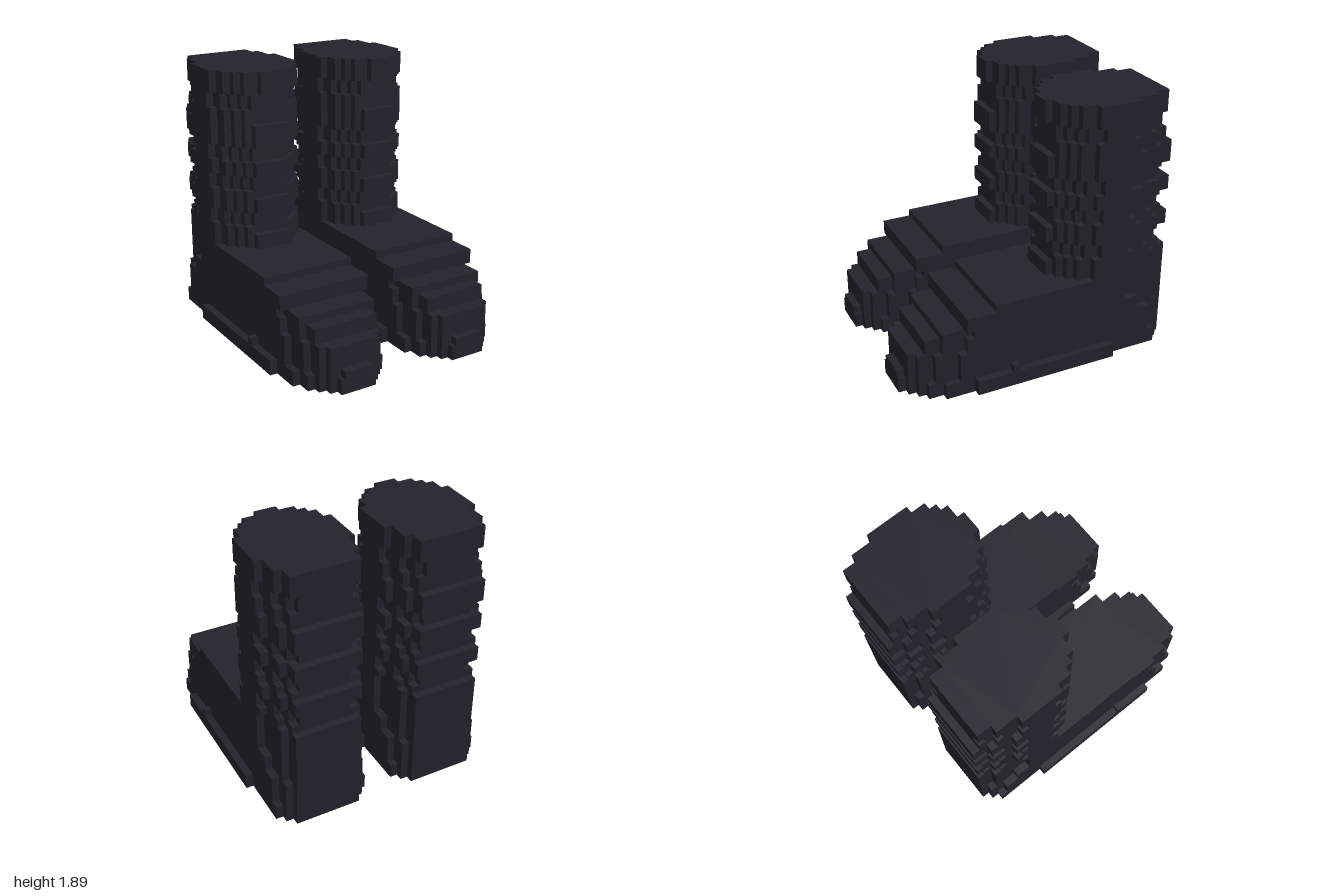
import * as THREE from 'three';

const U = 1 / 19; // one block

// Stepped slab symmetric in x. rows: [half width, z end], running from the back (z0) to the front.
function slab(name, y0, y1, z0, rows, material) {
  const right = [], left = [];
  let z = z0;
  for (const [half, zEnd] of rows) {
    right.push([half, z], [half, zEnd]);
    left.push([-half, z], [-half, zEnd]);
    z = zEnd;
  }
  const points = [...right, ...left.reverse()].map(([x, d]) => new THREE.Vector2(x * U, d * U));
  const geometry = new THREE.ExtrudeGeometry(new THREE.Shape(points), { depth: (y1 - y0) * U, bevelEnabled: false });
  geometry.rotateX(Math.PI / 2).translate(0, y1 * U, 0);
  const mesh = new THREE.Mesh(geometry, material);
  mesh.name = name;
  return mesh;
}

function createBoot(material) {
  const boot = new THREE.Group();
  const add = (...args) => boot.add(slab(...args, material));

  // Sole with its wider welt and small side tabs
  add('sole', 0, 2, -19, [[4.5, -18], [5.5, -17], [6.5, -10], [7.5, 10], [6.5, 14], [5.5, 16], [4.5, 17], [3.5, 18], [2.5, 19]]);
  add('soleTab', 2, 3, 4, [[7.5, 5]]);

  // Foot: heel rows, then toe rows that step back with height
  const heelLow = [[4.5, -18], [5.5, -16]];
  const heelMid = [[4.5, -17], [5.5, -14]];
  const heelHigh = [[4.5, -17], [5.5, -12]];
  const toe = [[6.5, 12], [5.5, 15], [4.5, 17], [3.5, 18]];
  add('toeTip', 2, 3, -19, [...heelLow, ...toe, [2, 19]]);
  add('toe', 3, 6, -19, [...heelLow, ...toe]);
  add('toe', 6, 8, -19, [...heelMid, [6.5, 11], [5.5, 14], [4.5, 16]]);
  add('instep', 8, 9, -19, [...heelHigh, [6.5, 10], [5.5, 14]]);
  add('instep', 9, 11, -19, [...heelHigh, [6.5, 11]]);
  add('instep', 11, 12, -19, [...heelHigh, [6.5, 7]]);

  // Shaft: raised bands, plain stretches and grooves cut in at the corners
  const fullFront = [[6.5, -7], [5.5, -5], [4.5, -4], [3.5, -3]];
  const band = [[4.5, -17], [5.5, -14], ...fullFront, [2.5, -2]];
  const plain = [[4.5, -16], [5.5, -13], ...fullFront];
  const groove = [[3.5, -17], [4.5, -15], [5.5, -12], [6.5, -8], [5.5, -6], [4.5, -5], [3.5, -4], [2.5, -3]];
  add('ankleBand', 12, 14, -19, [...heelHigh, ...fullFront, [2.5, -2]]);
  for (const [y0, y1] of [[17, 19], [22, 24], [26, 29]]) add('shaftBand', y0, y1, -19, band);
  for (const [y0, y1] of [[14, 15], [19, 20], [29, 31]]) add('shaft', y0, y1, -18, plain);
  for (const [y0, y1] of [[15, 17], [20, 22], [24, 26], [31, 33]]) add('shaftGroove', y0, y1, -18, groove);

  // Top cuff
  add('cuff', 33, 36, -18, [[4.5, -16], [5.5, -13], ...fullFront, [1.5, -2]]);
  return boot;
}

export function createModel() {
  const model = new THREE.Group();
  model.name = 'boots';
  const leather = new THREE.MeshStandardMaterial({ color: 0x23232d });
  leather.name = 'darkLeather';
  for (const side of [-1, 1]) {
    const boot = createBoot(leather);
    boot.name = side > 0 ? 'leftBoot' : 'rightBoot';
    boot.position.x = side * 8.5 * U;
    model.add(boot);
  }
  return model;
}
